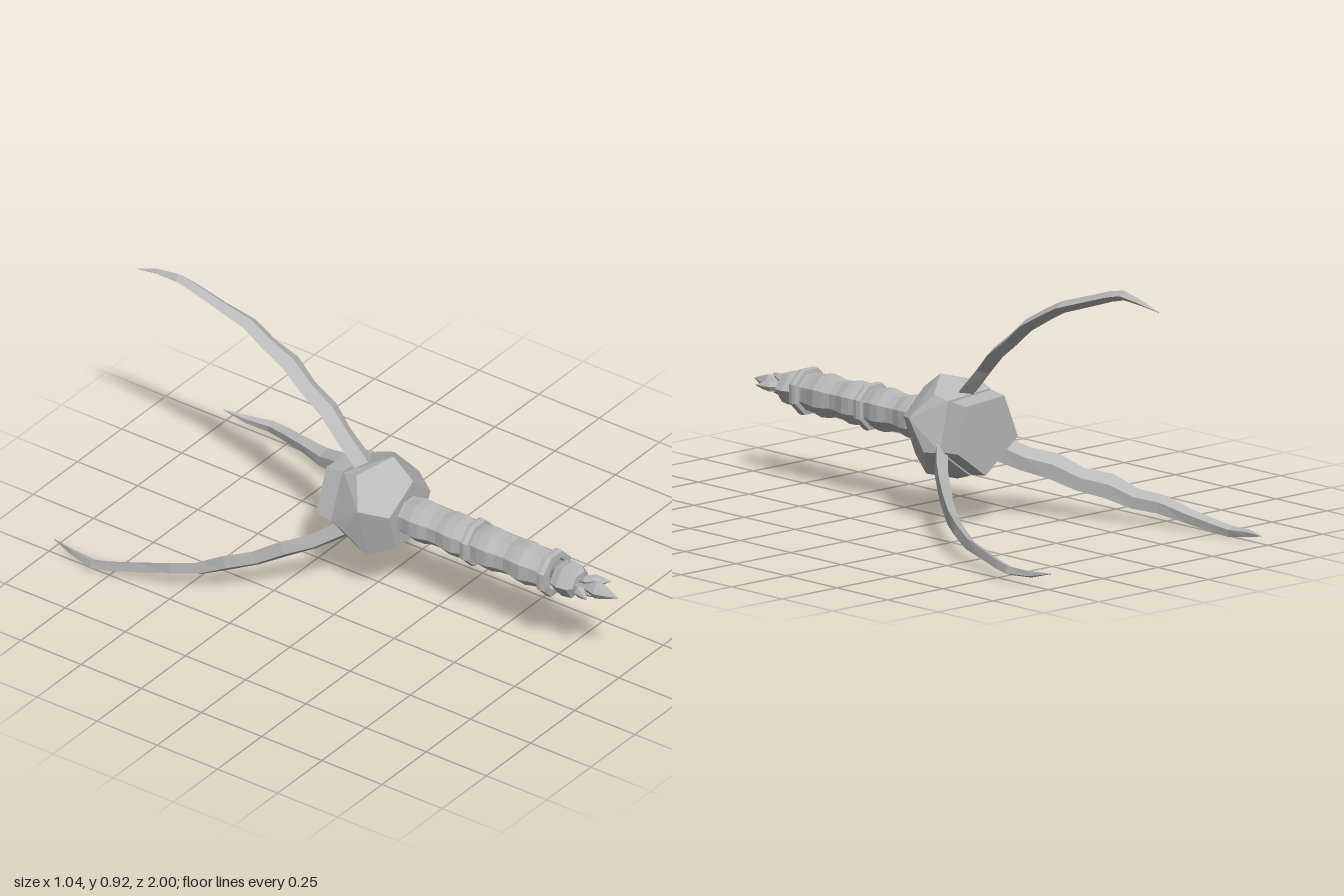
import * as THREE from 'three';
import { ConvexGeometry } from 'three/addons/geometries/ConvexGeometry.js';

const CY = 0.32; // height of the long axis
const metal = new THREE.MeshStandardMaterial({ color: 0xb8b8b8 });
metal.name = 'grey metal';

// Faceted mesh: split shared corners so every face gets its own normal
function part(name, geometry, parent) {
  const g = geometry.index ? geometry.toNonIndexed() : geometry;
  g.computeVertexNormals();
  const m = new THREE.Mesh(g, metal);
  m.name = name;
  parent.add(m);
  return m;
}

// Turned solid along z from [radius, z] pairs
function turned(points, sides) {
  const pts = points.map(([r, z]) => new THREE.Vector2(r, z));
  return new THREE.LatheGeometry(pts, sides, Math.PI / sides).rotateX(Math.PI / 2);
}

// Ring of hull points at the given angles (degrees)
function ring(r, z, angles) {
  return angles.map(a => {
    const t = THREE.MathUtils.degToRad(a);
    return new THREE.Vector3(r * Math.cos(t), r * Math.sin(t), z);
  });
}

// Curved prong with a diamond section that tapers to a point
function prongGeometry() {
  // [height from axis, z, half width, half thickness]
  const path = [
    [0.10, -0.03, 0.045, 0.024], [0.15, -0.075, 0.046, 0.024], [0.22, -0.14, 0.042, 0.024],
    [0.285, -0.21, 0.046, 0.023], [0.35, -0.29, 0.041, 0.022], [0.41, -0.37, 0.044, 0.022],
    [0.46, -0.455, 0.036, 0.021], [0.50, -0.54, 0.034, 0.02], [0.535, -0.65, 0.026, 0.019],
    [0.57, -0.76, 0.023, 0.018], [0.583, -0.82, 0.02, 0.017], [0.573, -0.91, 0.014, 0.01],
    [0.552, -1.0, 0.001, 0.001]];
  const sway = [-0.005, -0.005, -0.008, 0.004, -0.005, 0.007, -0.004, 0.006, -0.004, -0.01, -0.012, -0.006, -0.01];
  const pos = [], idx = [], n = path.length;
  path.forEach(([y, z, w, t], i) => {
    const a = path[Math.max(i - 1, 0)], b = path[Math.min(i + 1, n - 1)];
    const T = new THREE.Vector2(b[0] - a[0], b[1] - a[1]).normalize();
    for (let j = 0; j < 4; j++) {
      const c = Math.cos(j * Math.PI / 2) * w, s = Math.sin(j * Math.PI / 2) * t;
      pos.push(sway[i] + c, y + T.y * s, z - T.x * s);
      if (i < n - 1) {
        const p = i * 4 + j, q = i * 4 + (j + 1) % 4;
        idx.push(p, q, q + 4, p, q + 4, p + 4);
      }
    }
  });
  const g = new THREE.BufferGeometry();
  g.setAttribute('position', new THREE.Float32BufferAttribute(pos, 3));
  g.setIndex(idx);
  return g;
}

export function createModel() {
  const model = new THREE.Group();
  model.name = 'threeProngedTool';
  const axis = new THREE.Group();
  axis.name = 'axis';
  axis.position.y = CY;
  model.add(axis);

  // Faceted hub
  const frontAngles = [80, 15, 302, 229, 160];
  const backAngles = [123, 48, 339, 273, 192];
  part('hub', new ConvexGeometry([
    ...ring(0.122, 0.13, frontAngles), ...ring(0.182, 0.04, frontAngles),
    ...ring(0.175, -0.02, backAngles), ...ring(0.156, -0.08, backAngles)]), axis);
  part('hubNeck', new ConvexGeometry([
    ...ring(0.125, -0.07, backAngles), ...ring(0.125, -0.1, backAngles)]), axis);
  part('hubBackPlate', new ConvexGeometry([
    ...ring(0.152, -0.088, backAngles), ...ring(0.143, -0.157, backAngles)]), axis);

  // Three prongs
  for (let k = 0; k < 3; k++) {
    part('prong', prongGeometry(), axis).rotation.z = k * Math.PI * 2 / 3;
  }

  // Scalloped handle with a recessed end
  const profile = [];
  for (let i = 0; i <= 18; i++) {
    const z = 0.11 + i * 0.035;
    profile.push([0.071 - 0.006 * Math.cos((z - 0.12) * Math.PI * 2 / 0.145), z]);
  }
  profile.push([0.068, 0.745], [0.058, 0.745], [0.055, 0.725], [0, 0.725]);
  part('handle', turned(profile, 8), axis).position.x = -0.004;
  for (const z of [0.412, 0.73]) {
    part('handleRing', turned([[0.06, z - 0.018], [0.082, z - 0.015], [0.085, z],
      [0.082, z + 0.015], [0.06, z + 0.018]], 8), axis).position.x = -0.004;
  }

  // Bud at the end
  const bud = new THREE.Group();
  bud.name = 'bud';
  bud.position.x = -0.004;
  axis.add(bud);
  part('budBase', turned([[0, 0.72], [0.04, 0.745], [0.058, 0.758], [0.069, 0.79],
    [0.064, 0.828], [0.045, 0.842], [0, 0.845]], 6), bud).scale.y = 0.88;

  // Pointed petals: one long in the middle, one splayed at each side
  const petal = (len, r) => turned([[0.008, 0], [r, len * 0.5], [0.6 * r, len * 0.75], [0, len]], 6);
  part('middlePetal', petal(0.17, 0.03), bud).position.z = 0.83;
  for (const s of [-1, 1]) {
    const p = part('sidePetal', petal(0.11, 0.021), bud);
    p.position.set(s * 0.015, 0, 0.825);
    p.rotation.y = s * 0.52;
  }
  for (const s of [-1, 1]) {
    const p = part('smallPetal', petal(0.08, 0.016), bud);
    p.position.set(0, s * 0.01, 0.83);
    p.rotation.x = -s * 0.3;
  }
  return model;
}
